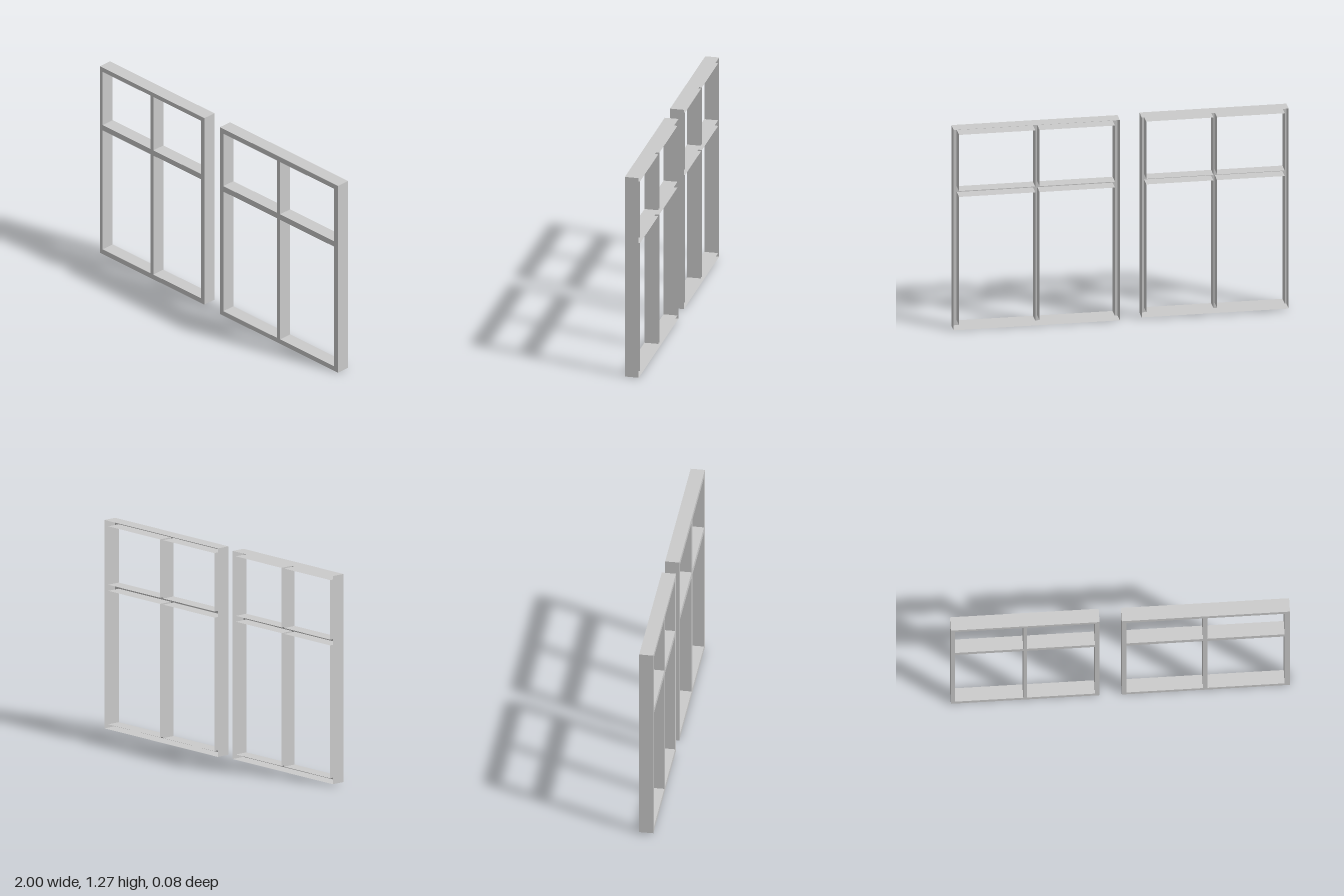
import * as THREE from 'three';
import { mergeGeometries } from 'three/addons/utils/BufferGeometryUtils.js';

const FRONT = 0.042;
const BACK = -0.042;

const material = new THREE.MeshStandardMaterial({
  color: 0xcccccc, flatShading: true, side: THREE.DoubleSide,
});

// Flat wall running back from the edge (x0,y0)-(x1,y1) of the front face
function wall(x0, y0, x1, y1) {
  const dx = x1 - x0, dy = y1 - y0;
  const g = new THREE.PlaneGeometry(Math.hypot(dx, dy), FRONT - BACK);
  g.rotateX(Math.PI / 2);
  g.rotateZ(Math.atan2(dy, dx));
  g.translate((x0 + x1) / 2, (y0 + y1) / 2, (FRONT + BACK) / 2);
  return g;
}

// Rectangle corners, counter-clockwise
const rect = (x0, x1, y0, y1) => [[x0, y0], [x1, y0], [x1, y1], [x0, y1]];
const points = (corners) => corners.map(([x, y]) => new THREE.Vector2(x, y));

// Walls along all four sides; outward ones face away from the rectangle
function walls(corners, outward) {
  const list = outward ? corners : [...corners].reverse();
  return list.map((p, i) => wall(...p, ...list[(i + 1) % 4]));
}

// Four-pane window frame, hollow and open at the back.
// xs and ys list: outer edge, pane start, pane end, pane start, pane end, outer edge
function windowFrame(name, xs, ys) {
  const group = new THREE.Group();
  group.name = name;
  const outer = rect(xs[0], xs[5], ys[0], ys[5]);
  const panes = [];
  for (const i of [1, 3]) {
    for (const j of [1, 3]) panes.push(rect(xs[i], xs[i + 1], ys[j], ys[j + 1]));
  }

  // Front face with pane openings
  const shape = new THREE.Shape(points(outer));
  for (const p of panes) shape.holes.push(new THREE.Path(points(p)));
  const face = new THREE.ShapeGeometry(shape);
  face.translate(0, 0, FRONT);

  const add = (part, geometry) => {
    const mesh = new THREE.Mesh(geometry, material);
    mesh.name = part;
    group.add(mesh);
  };
  add('frontFace', face);
  add('outerWalls', mergeGeometries(walls(outer, true)));
  add('paneWalls', mergeGeometries(panes.flatMap((p) => walls(p, false))));
  return group;
}

export function createModel() {
  const model = new THREE.Group();
  model.name = 'windowFrames';
  model.add(
    windowFrame('rightWindow',
      [-1, -0.977, -0.573, -0.551, -0.15, -0.123],
      [0.01, 0.042, 0.845, 0.88, 1.24, 1.268]),
    windowFrame('leftWindow',
      [0.008, 0.037, 0.487, 0.513, 0.968, 1],
      [0, 0.03, 0.837, 0.874, 1.227, 1.26]),
  );
  return model;
}
